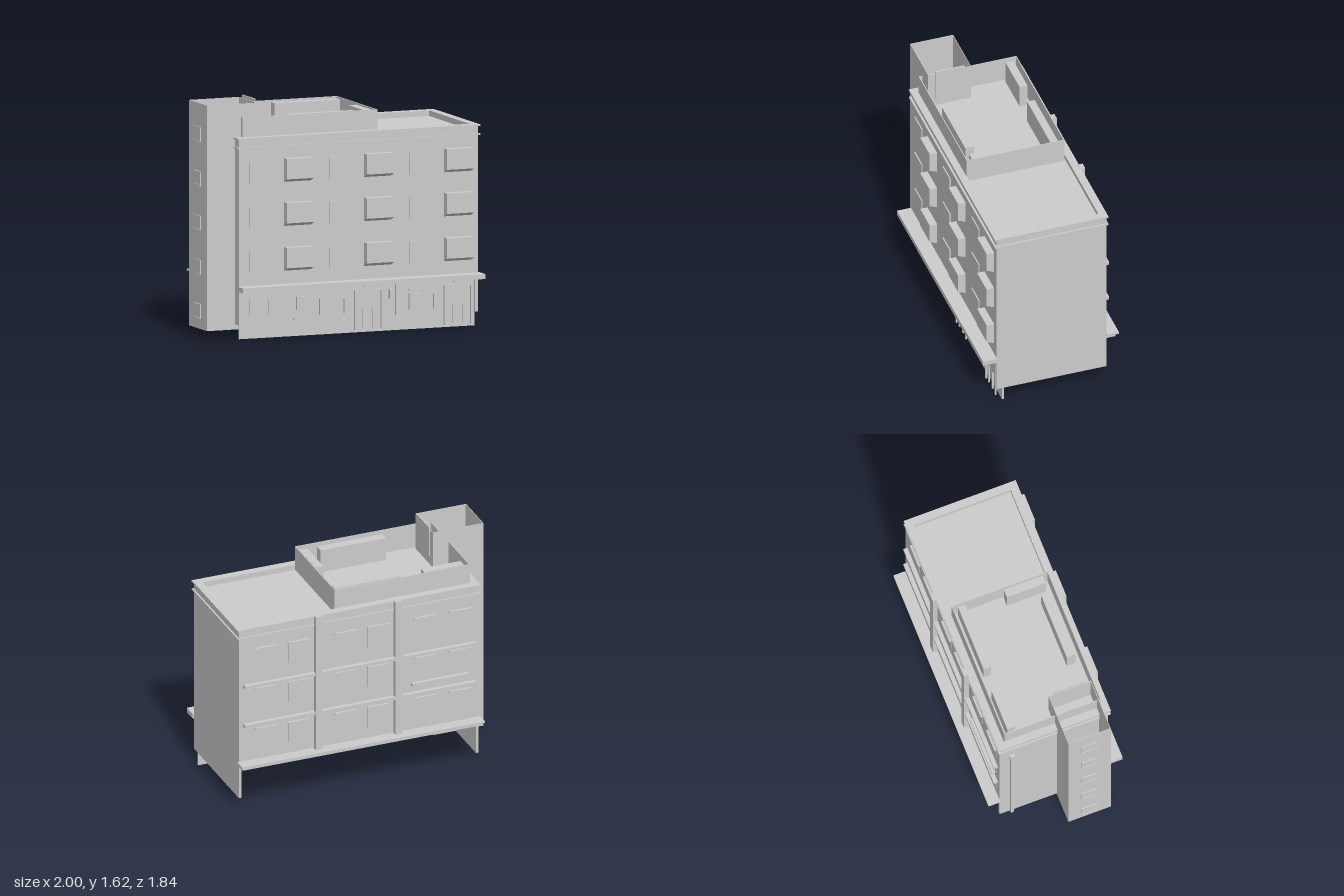
import * as THREE from 'three';

export function createModel() {
  const grey = new THREE.MeshStandardMaterial({ color: 0xcccccc, side: THREE.DoubleSide });
  grey.name = 'plaster grey';
  const model = new THREE.Group();
  model.name = 'apartmentBuilding';
  // Local frame: x along the street front, z out of the street front
  const house = new THREE.Group();
  house.name = 'building';
  house.rotation.y = THREE.MathUtils.degToRad(37);
  model.add(house);

  const add = (name, geometry) => {
    const mesh = new THREE.Mesh(geometry, grey);
    mesh.name = name;
    house.add(mesh);
    return mesh;
  };
  // Box given by its limits on each axis
  const box = (name, x0, x1, y0, y1, z0, z1) => {
    const g = new THREE.BoxGeometry(x1 - x0, y1 - y0, z1 - z0);
    g.translate((x0 + x1) / 2, (y0 + y1) / 2, (z0 + z1) / 2);
    return add(name, g);
  };
  // Rectangular frame of wall thickness t
  const ring = (name, x0, x1, y0, y1, z0, z1, t) => {
    const rect = (C, d) => {
      const p = new C();
      p.moveTo(x0 + d, -z1 + d);
      p.lineTo(x1 - d, -z1 + d);
      p.lineTo(x1 - d, -z0 - d);
      p.lineTo(x0 + d, -z0 - d);
      p.closePath();
      return p;
    };
    const s = rect(THREE.Shape, 0);
    s.holes.push(rect(THREE.Path, t));
    const g = new THREE.ExtrudeGeometry(s, { depth: y1 - y0, bevelEnabled: false });
    g.rotateX(-Math.PI / 2);
    g.translate(0, y0, 0);
    return add(name, g);
  };
  // Thin upright frame with an opening, facing +z
  const openFrame = (name, x0, x1, y0, y1, z, w = 0.01, d = 0.012) => {
    box(name + 'LeftJamb', x0, x0 + w, y0, y1, z, z + d);
    box(name + 'RightJamb', x1 - w, x1, y0, y1, z, z + d);
    box(name + 'Head', x0, x1, y1 - w, y1, z, z + d);
  };

  const W = 0.875, F = 0.385, B = -0.4;

  // Upper floors, parapet and cornice bands
  box('upperFloors', -W, W, 0.33, 1.335, B, F);
  ring('parapet', -W, W, 1.335, 1.37, B, F, 0.042);
  ring('upperCornice', -0.887, 0.887, 1.362, 1.374, -0.41, 0.4, 0.055);
  ring('lowerCornice', -0.887, 0.887, 1.302, 1.312, -0.41, 0.4, 0.03);

  // Ground floor: end walls, street wall and its raised panels; the rear is open
  for (const s of [-1, 1]) {
    const e = s * (W - 0.01);
    box('endWall', e - 0.01, e + 0.01, 0.1, 0.33, B, F);
  }
  box('streetWall', -0.855, 0.869, 0, 0.33, 0.33, 0.344);
  box('leftShopPanel', -0.86, -0.459, 0.125, 0.33, 0.344, 0.372);
  box('middleShopPanel', -0.459, 0.281, 0.105, 0.33, 0.344, 0.356);
  box('rightShopPanel', 0.281, 0.865, 0.105, 0.33, 0.344, 0.37);

  // Canopies on both long sides
  box('streetCanopy', -0.887, 0.887, 0.332, 0.366, F, 0.485);
  box('rearCanopy', -0.887, 0.887, 0.362, 0.374, -0.485, B);
  box('rearCanopyBeam', -0.875, 0.875, 0.338, 0.362, -0.465, B);

  // Shop windows, doors and their fittings
  openFrame('leftShopWindow', -0.792, -0.643, 0.165, 0.275, 0.372);
  openFrame('middleShopWindow', -0.274, -0.085, 0.135, 0.25, 0.356);
  openFrame('rightShopWindow', 0.375, 0.564, 0.135, 0.25, 0.37);
  box('shopSignBoard', 0.375, 0.61, 0.266, 0.28, 0.37, 0.382);
  for (const [x, z] of [[-0.018, 0.356], [0.631, 0.37]]) {
    openFrame('doorFrame', x, x + 0.204, 0.02, 0.29, z);
    box('doorMeeting', x + 0.06, x + 0.07, 0.03, 0.16, z, z + 0.012);
    box('doorLeafEdge', x + 0.134, x + 0.144, 0.03, 0.16, z, z + 0.012);
    box('doorLamp', x + 0.07, x + 0.13, 0.308, 0.322, z, z + 0.02);
  }
  box('leftWallBox', -0.444, -0.385, 0.18, 0.27, 0.356, 0.372);
  box('rightWallBox', 0.232, 0.27, 0.22, 0.285, 0.356, 0.385);

  // Bay window cross-section with a sloping underside
  const bayShape = new THREE.Shape([[0, 0], [0.053, 0.023], [0.053, 0.162], [0, 0.162]]
    .map(([a, b]) => new THREE.Vector2(a, b)));
  for (const y of [0.455, 0.76, 1.06]) {
    // Street windows alternate flat and bay
    for (const x of [-0.797, -0.215, 0.374]) {
      box('flatWindow', x, x + 0.15, y, y + 0.145, F, F + 0.008);
    }
    for (const x of [-0.545, 0.04, 0.628]) {
      const g = new THREE.ExtrudeGeometry(bayShape, { depth: 0.198, bevelEnabled: false });
      g.rotateY(-Math.PI / 2);
      g.translate(x + 0.198, y, F);
      add('bayWindow', g);
    }
    // Rear windows with lintels
    for (const x of [-0.74, -0.48, -0.14, 0.1, 0.44, 0.68]) {
      box('rearWindow', x - 0.075, x + 0.075, y, y + 0.145, B - 0.004, B);
      box('rearLintel', x - 0.08, x + 0.08, y + 0.145, y + 0.155, B - 0.015, B);
    }
  }

  // Rear pilasters and the ledges between them
  for (const x of [-0.279, 0.303]) box('rearPilaster', x - 0.025, x + 0.025, 0.374, 1.378, -0.436, B);
  for (const y of [0.635, 0.93]) {
    for (const [a, b] of [[-0.843, -0.304], [-0.254, 0.278], [0.328, 0.843]]) {
      box('rearLedge', a, b, y, y + 0.022, -0.43, B);
    }
  }
  box('rearShelf', -0.8, -0.38, 0.71, 0.728, -0.425, B);

  // Downpipe on the end wall
  box('downpipe', -0.89, -W, 0.09, 1.16, -0.325, -0.302);
  box('downpipeHopper', -0.897, -W, 1.15, 1.19, -0.33, -0.295);

  // Roof screen and rooftop units
  ring('roofScreen', -0.833, 0.155, 1.335, 1.51, -0.349, 0.349, 0.006);
  for (const [x0, x1, z0, z1] of [
    [-0.343, 0.136, -0.309, -0.255], [-0.801, -0.511, -0.316, -0.26],
    [-0.466, 0.011, 0.244, 0.308], [0.082, 0.14, 0.024, 0.305],
  ]) box('roofUnit', x0, x1, 1.335, 1.5, z0, z1);

  // Stair tower: open-topped shell with windows on its outer end
  ring('stairTower', -1.083, -0.714, 0.065, 1.6, 0.016, 0.323, 0.004);
  box('towerHatch', -0.714, -0.704, 1.4, 1.62, 0.064, 0.274);
  for (let i = 0; i < 5; i++) {
    const y = 0.14 + i * 0.301;
    box('towerWindow', -1.09, -1.083, y, y + 0.095, 0.108, 0.224);
    box('towerSill', -1.095, -1.083, y - 0.005, y + 0.004, 0.105, 0.227);
  }

  return model;
}
